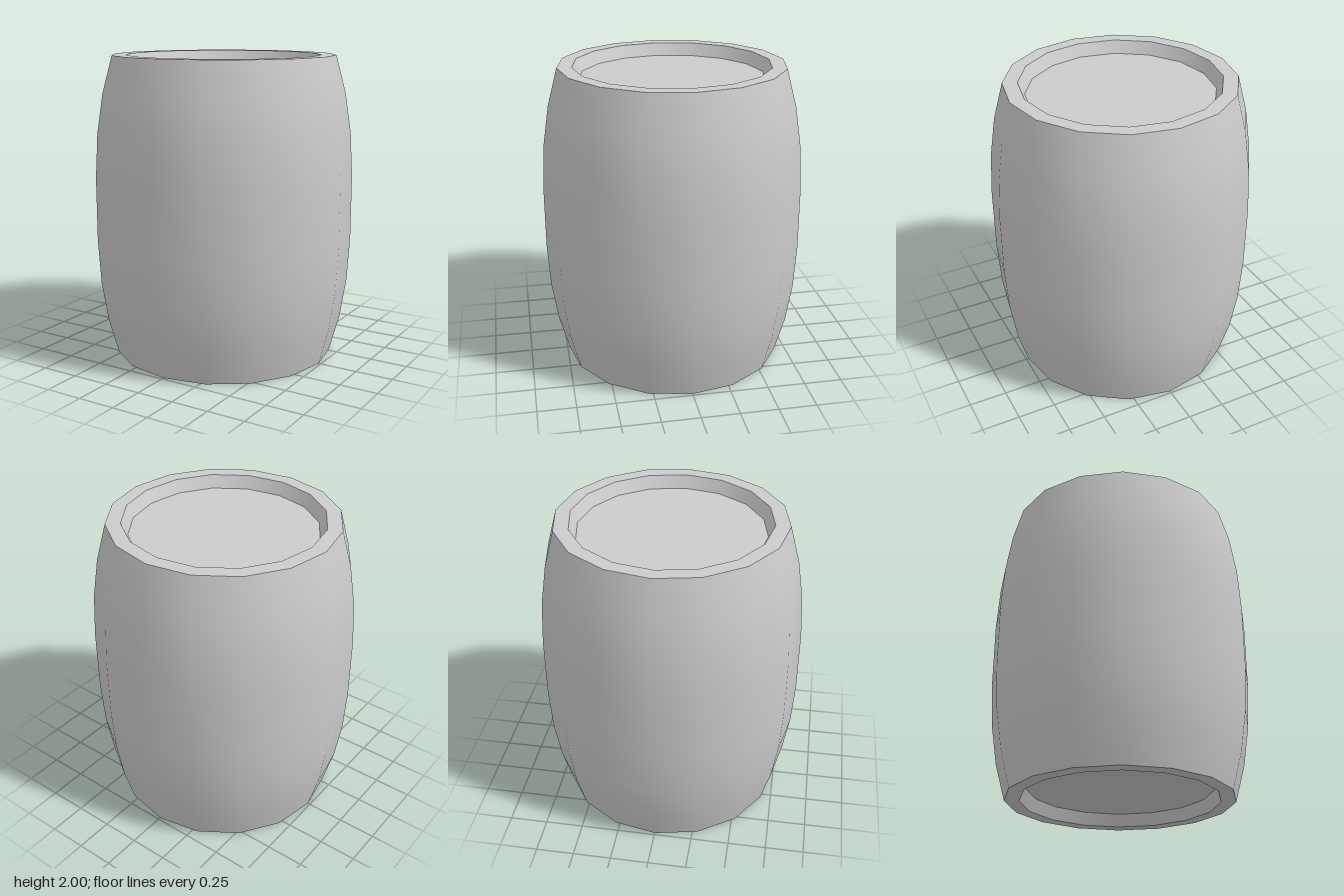
import * as THREE from 'three';

const SIDES = 16;
const material = new THREE.MeshStandardMaterial({ color: 0xcccccc });

// Turned surface from [radius, height] pairs
function turned(name, profile) {
  const points = profile.map(([r, y]) => new THREE.Vector2(r, y));
  const mesh = new THREE.Mesh(new THREE.LatheGeometry(points, SIDES), material);
  mesh.name = name;
  return mesh;
}

// One barrel end, relative to mid height: flat rim, sloped recess wall, sunken head
function barrelEnd(name) {
  const end = new THREE.Group();
  end.name = name;
  end.add(turned('rim', [[0.735, 1], [0.64, 1]]));
  end.add(turned('recessWall', [[0.64, 1], [0.6, 0.92]]));
  const head = new THREE.Mesh(new THREE.CircleGeometry(0.6, SIDES).rotateX(-Math.PI / 2), material);
  head.name = 'head';
  head.position.y = 0.92;
  end.add(head);
  end.position.y = 1;
  return end;
}

export function createModel() {
  const barrel = new THREE.Group();
  barrel.name = 'barrel';

  // Bulging outer wall, symmetric about mid height
  const upper = [[0.857, 0.21], [0.84, 0.5], [0.8, 0.76], [0.735, 1]];
  const lower = upper.map(([r, y]) => [r, -y]).reverse();
  const wall = turned('wall', [...lower, ...upper]);
  wall.position.y = 1;
  barrel.add(wall);

  // Matching ends, the bottom one turned over
  const bottom = barrelEnd('bottomEnd');
  bottom.rotation.x = Math.PI;
  barrel.add(barrelEnd('topEnd'), bottom);

  return barrel;
}
